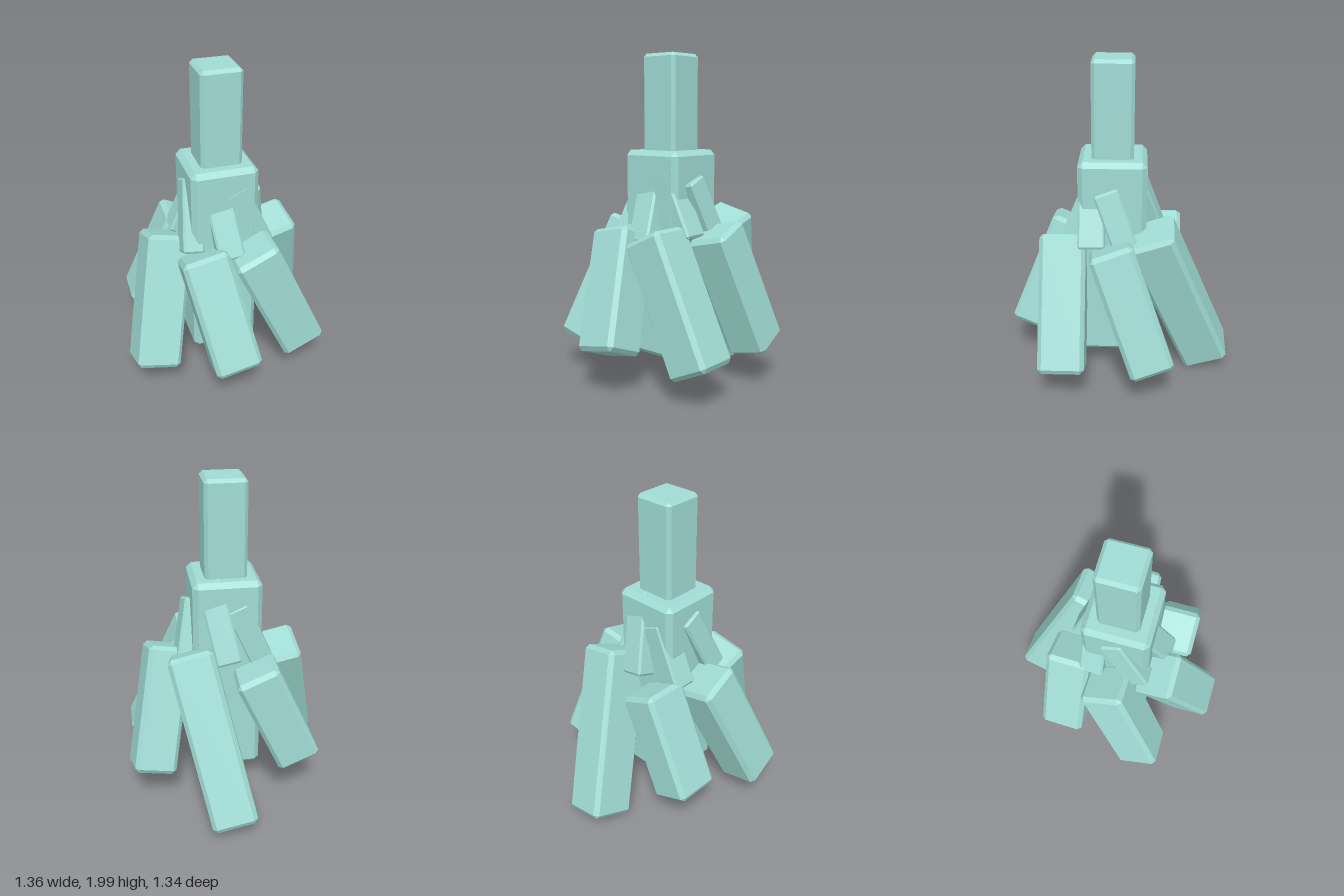
import * as THREE from 'three';
import { ConvexGeometry } from 'three/addons/geometries/ConvexGeometry.js';

const teal = new THREE.MeshStandardMaterial({ color: 0xa0dcd4 });
teal.name = 'paleTeal';

// Box with every edge cut flat by c
function chamferedBox(w, h, d, c) {
  const points = [];
  for (const sx of [-1, 1]) for (const sy of [-1, 1]) for (const sz of [-1, 1]) {
    const x = w / 2, y = h / 2, z = d / 2;
    points.push(
      new THREE.Vector3(sx * x, sy * (y - c), sz * (z - c)),
      new THREE.Vector3(sx * (x - c), sy * y, sz * (z - c)),
      new THREE.Vector3(sx * (x - c), sy * (y - c), sz * z));
  }
  return new ConvexGeometry(points);
}

// Block running from the middle of its bottom end to the middle of its top end;
// side is the direction of its width, squared up to the long axis
function block(name, bottom, top, side, width, depth, c, extra = 0) {
  const a = new THREE.Vector3(...bottom), b = new THREE.Vector3(...top);
  const axis = b.clone().sub(a);
  const length = axis.length();
  axis.normalize();
  const x = new THREE.Vector3(...side);
  x.addScaledVector(axis, -x.dot(axis)).normalize();
  const z = new THREE.Vector3().crossVectors(x, axis);
  const mesh = new THREE.Mesh(chamferedBox(width, length + extra, depth, c), teal);
  mesh.quaternion.setFromRotationMatrix(new THREE.Matrix4().makeBasis(x, axis, z));
  mesh.position.copy(a.add(b).multiplyScalar(0.5));
  mesh.name = name;
  return mesh;
}

export function createModel() {
  const group = new THREE.Group();
  group.name = 'blockTree';

  // Upright core and stem, turned corner-on to the front
  const diagonal = [1, 0, 1];
  group.add(block('core', [-0.02, 0.18, -0.01], [-0.02, 1.43, -0.01], diagonal, 0.405, 0.405, 0.03));
  group.add(block('stem', [-0.02, 1.35, -0.01], [-0.02, 2, -0.01], diagonal, 0.247, 0.247, 0.02));

  // Large leaning blocks: bottom, top, side direction, width, depth
  const large = [
    ['backLeaningBlock', [-0.437, 0.088, -0.452], [-0.02, 1.01, -0.33], [0.175, -0.065, -0.17], 0.27, 0.285],
    ['backLeftBlock', [0.147, 0.255, -0.52], [0.23, 0.955, -0.25], [0.185, -0.07, 0.14], 0.265, 0.255],
    ['leftBlock', [0.515, 0.22, -0.135], [0.275, 0.94, 0.105], [1, 0, 1], 0.275, 0.28],
    ['frontLeftBlock', [0.325, 0.28, 0.38], [0.045, 0.925, 0.285], [-0.18, -0.07, 0.19], 0.285, 0.26],
    ['frontRightBlock', [-0.18, 0.208, 0.515], [-0.265, 0.938, 0.195], [-0.18, -0.1, -0.15], 0.275, 0.27],
    ['rightBlock', [-0.52, 0.325, 0.075], [-0.325, 0.91, -0.11], [0.18, 0, 0.19], 0.275, 0.265],
  ];
  for (const args of large) group.add(block(...args, 0.025, 0.025));

  // Small leaning blocks around the top of the core
  const small = [
    ['smallBackLeaningBlock', [-0.2, 0.95, -0.19], [-0.015, 1.41, -0.145], [0.175, -0.065, -0.17], 0.15, 0.13],
    ['smallBackLeftBlock', [0.085, 0.88, -0.25], [0.13, 1.25, -0.1], [0.185, -0.07, 0.14], 0.15, 0.14],
    ['smallLeftBlock', [0.235, 0.91, -0.095], [0.11, 1.29, 0.035], [1, 0, 1], 0.16, 0.14],
    ['smallFrontLeftBlock', [0.17, 0.88, 0.16], [0.035, 1.22, 0.09], [-0.18, -0.07, 0.19], 0.16, 0.14],
    ['smallFrontRightBlock', [-0.05, 0.905, 0.25], [-0.145, 1.305, 0.08], [0.09, 0.04, 0.085], 0.14, 0.13],
    ['smallRightBlock', [-0.27, 0.9, 0.045], [-0.15, 1.27, -0.07], [0.18, 0, 0.19], 0.15, 0.14],
  ];
  for (const args of small) group.add(block(...args, 0.012));

  return group;
}
